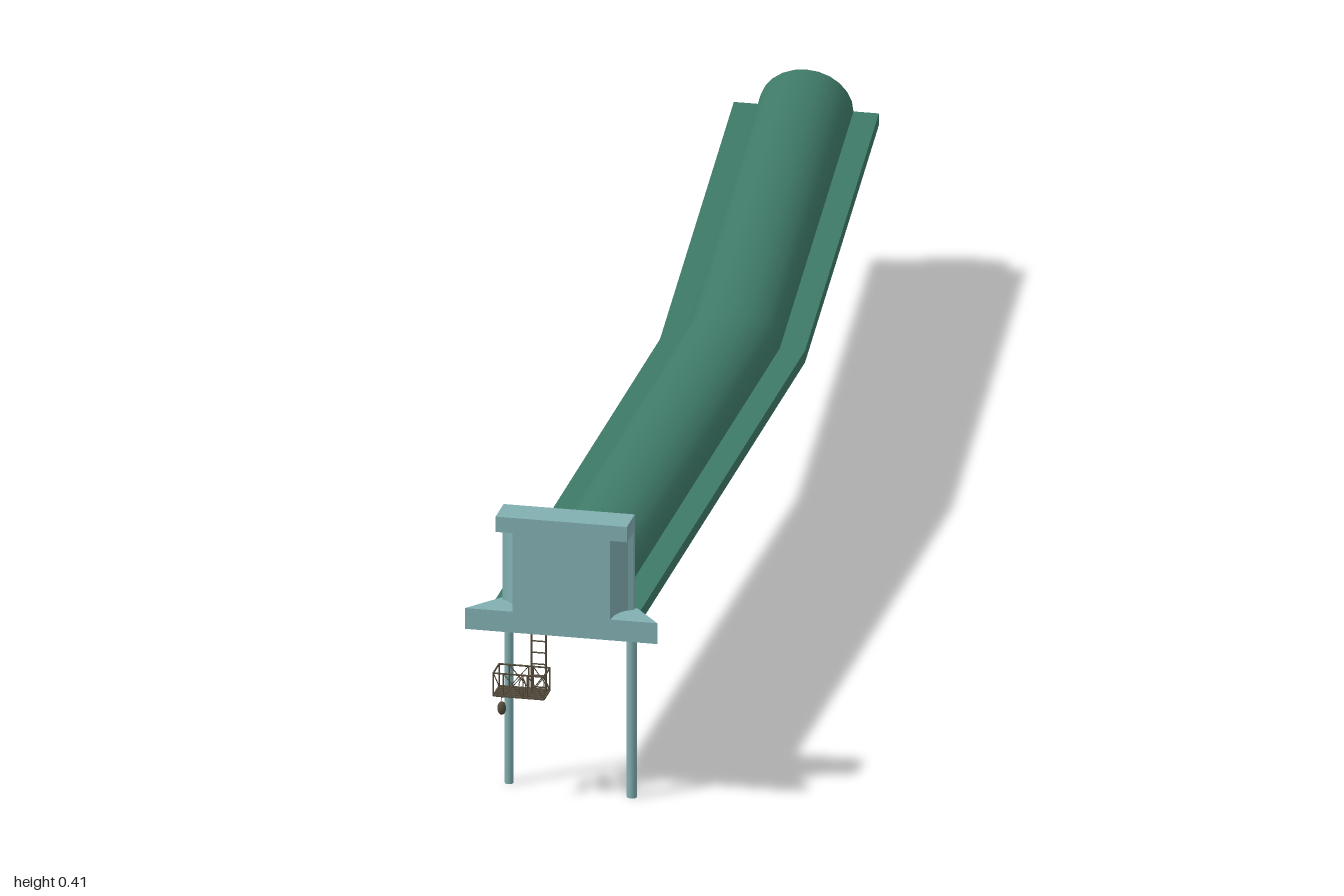
import * as THREE from 'three';
import { toCreasedNormals } from 'three/addons/utils/BufferGeometryUtils.js';

const green = new THREE.MeshStandardMaterial({ color: 0x3f7a68 });
const teal = new THREE.MeshStandardMaterial({ color: 0x82b0b2 });
const brown = new THREE.MeshStandardMaterial({ color: 0x554c3c });

const CX = 0.03;              // axis of the tunnel mouth
const BACK = 0.938, FRONT = 0.987;

function add(parent, name, geometry, material) {
  const mesh = new THREE.Mesh(geometry, material);
  mesh.name = name;
  parent.add(mesh);
  return mesh;
}

function box(parent, name, material, x0, x1, y0, y1, z0, z1) {
  const mesh = add(parent, name, new THREE.BoxGeometry(x1 - x0, y1 - y0, z1 - z0), material);
  mesh.position.set((x0 + x1) / 2, (y0 + y1) / 2, (z0 + z1) / 2);
  return mesh;
}

// Thin rod between two points
function rod(parent, name, a, b, r = 0.0012) {
  const p = new THREE.Vector3(...a), q = new THREE.Vector3(...b);
  const mesh = add(parent, name, new THREE.CylinderGeometry(r, r, p.distanceTo(q), 6), brown);
  mesh.position.copy(p).lerp(q, 0.5);
  mesh.quaternion.setFromUnitVectors(new THREE.Vector3(0, 1, 0), q.sub(p).normalize());
}

// Horizontal slab from an outline of [x, z] points
function slab(parent, name, outline, y0, y1) {
  const shape = new THREE.Shape(outline.map(([x, z]) => new THREE.Vector2(x, -z)));
  const g = new THREE.ExtrudeGeometry(shape, { depth: y1 - y0, bevelEnabled: false });
  g.rotateX(-Math.PI / 2).translate(0, y0, 0);
  return add(parent, name, g, teal);
}

// Arched cover with side flanges, swept back and bent sideways
function tunnel(parent) {
  const pts = [[-0.1, 0.245], [-0.1, 0.262]];
  const n = 12;
  for (let i = 0; i <= n; i++) {
    const a = Math.PI * (1 - i / n);
    pts.push([0.065 * Math.cos(a), 0.262 + 0.055 * Math.sin(a)]);
  }
  pts.push([0.1, 0.262], [0.1, 0.245]);
  for (let i = 0; i <= n; i++) {
    const a = Math.PI * i / n;
    pts.push([0.059 * Math.cos(a), 0.245 + 0.067 * Math.sin(a)]);
  }
  const shape = new THREE.Shape(pts.map(([x, y]) => new THREE.Vector2(x, y)));
  const g = new THREE.ExtrudeGeometry(shape, { depth: 2, steps: 2, bevelEnabled: false });
  const p = g.attributes.position;
  for (let i = 0; i < p.count; i++) {
    const step = Math.round(p.getZ(i));           // 0 far end, 1 bend, 2 mouth
    p.setX(i, p.getX(i) + (step === 0 ? -0.07 : CX));
    p.setZ(i, [-1, -0.1, BACK][step]);
  }
  add(parent, 'tunnelCover', toCreasedNormals(g, 0.5), green);
}

// End wall with hollowed front corners, cap and splayed base
function portal(parent) {
  const group = new THREE.Group();
  group.name = 'portal';
  parent.add(group);
  const L = -0.053, R = 0.128, mid = (L + R) / 2;
  const corner = [[L, 0.945], [-0.046, 0.948], [-0.038, 0.956], [-0.032, 0.97], [-0.03, FRONT]];
  const mirrored = corner.map(([x, z]) => [2 * mid - x, z]).reverse();
  slab(group, 'endWall', [[L, BACK], ...corner, ...mirrored, [R, BACK]], 0.275, 0.388);
  box(group, 'wallCap', teal, L, R, 0.388, 0.41, BACK, FRONT);
  slab(group, 'splayedBase', [[-0.057, BACK], [-0.095, FRONT], [0.17, FRONT], [0.132, BACK]], 0.245, 0.275);
}

// Hanging ladder and work basket
function basket(parent) {
  const group = new THREE.Group();
  group.name = 'workBasket';
  parent.add(group);
  const x0 = -0.056, x1 = 0.014, y0 = 0.153, y1 = 0.185, z0 = 0.952, z1 = 0.988, lz = 0.962;

  for (const x of [-0.009, 0.011]) rod(group, 'ladderRail', [x, y0, lz], [x, 0.246, lz], 0.0013);
  for (let y = 0.16; y < 0.246; y += 0.0165) rod(group, 'ladderRung', [-0.009, y, lz], [0.011, y, lz], 0.001);

  // Floor slats
  for (let i = 0; i < 6; i++) {
    const z = z0 + (z1 - z0) * i / 5;
    box(group, 'floorSlat', brown, x0, x1, y0 - 0.001, y0 + 0.001, z - 0.002, z + 0.002);
  }
  // Rails and posts
  const posts = [x0, -0.042, -0.015, -0.009, x1];
  for (const z of [z0, z1]) {
    for (const y of [y0, y1]) rod(group, 'longRail', [x0, y, z], [x1, y, z]);
    for (const x of posts) rod(group, 'post', [x, y0, z], [x, y1, z], 0.001);
    for (const [a, b] of [[-0.042, -0.015], [-0.009, x1]]) {
      rod(group, 'brace', [a, y0, z], [b, y1, z], 0.0007);
      rod(group, 'brace', [a, y1, z], [b, y0, z], 0.0007);
    }
  }
  for (const x of [x0, x1]) {
    for (const y of [y0, y1]) rod(group, 'crossRail', [x, y, z0], [x, y, z1]);
    rod(group, 'brace', [x, y0, z0], [x, y1, z1], 0.0007);
  }
  // Oval hoop on the front rail
  const hoop = add(group, 'hoop', new THREE.TorusGeometry(0.008, 0.0009, 5, 16), brown);
  hoop.scale.set(0.6, 1.5, 1);
  hoop.position.set(-0.016, 0.168, z1);

  // Lantern hung from an arm
  const lx = -0.043, lz2 = 0.994;
  rod(group, 'lanternArm', [lx, y0, z1], [lx, y0, lz2], 0.0008);
  rod(group, 'lanternCord', [lx, y0, lz2], [lx, 0.145, lz2], 0.0006);
  const lantern = add(group, 'lantern', new THREE.SphereGeometry(0.006, 10, 8), brown);
  lantern.scale.y = 1.6;
  lantern.position.set(lx, 0.138, lz2);
}

export function createModel() {
  const model = new THREE.Group();
  model.name = 'coveredBridge';
  tunnel(model);
  portal(model);
  basket(model);
  // Support legs
  for (const [x, z, r] of [[0.122, 0.929, 0.0072], [-0.051, 0.913, 0.0062]]) {
    const leg = add(model, 'supportLeg', new THREE.CylinderGeometry(r, r, 0.25, 8), teal);
    leg.position.set(x, 0.125, z);
  }
  return model;
}
